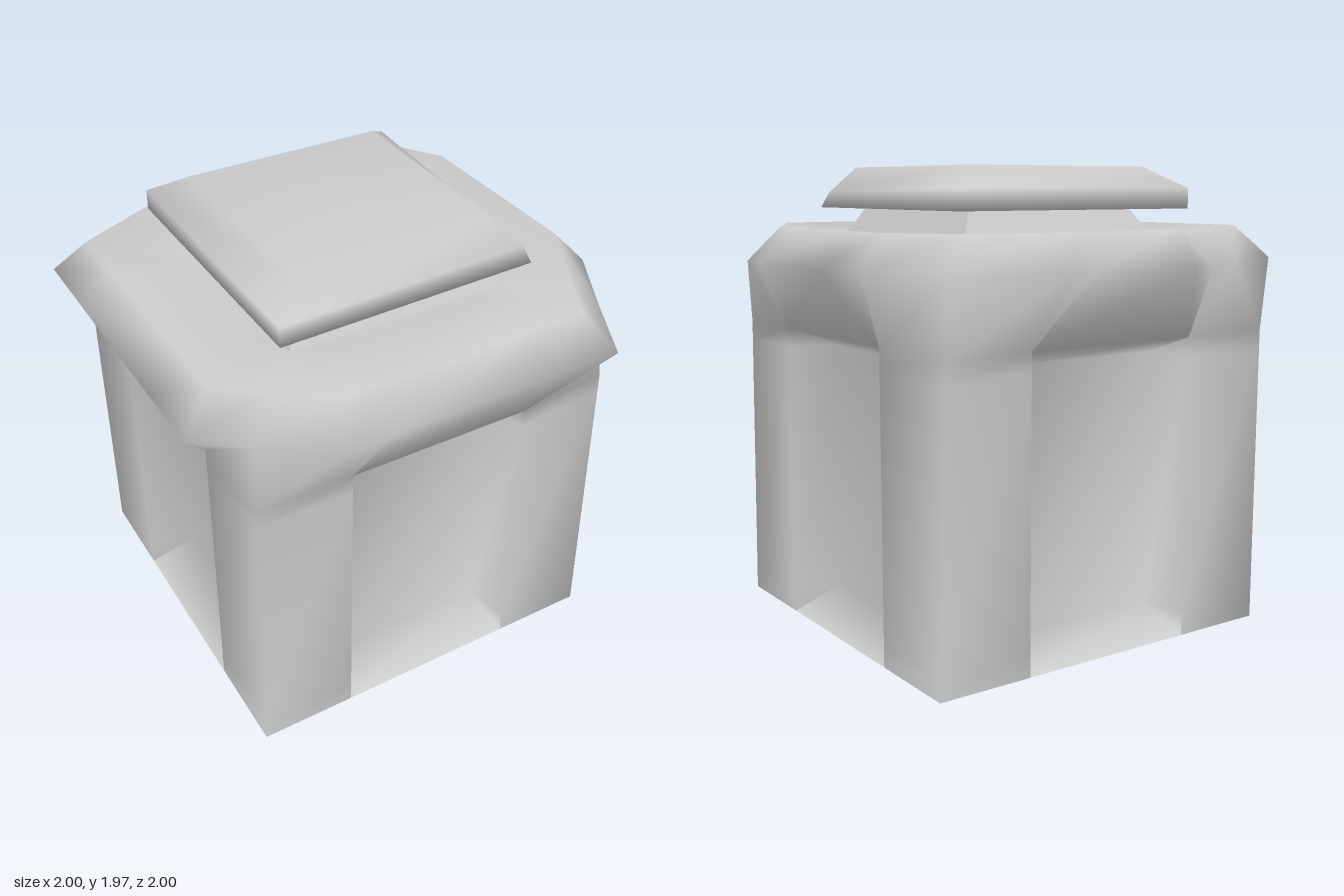
import * as THREE from 'three';

const material = new THREE.MeshStandardMaterial({ color: 0xcccccc, side: THREE.DoubleSide });

// Skin a stack of rings (arrays of [x, y, z], counterclockwise from above), closing the chosen ends.
function loft(name, rings, { bottom = true, top = true, smooth = true } = {}) {
  const n = rings[0].length;
  const last = (rings.length - 1) * n;
  const pos = rings.flat(2);
  const index = [];
  for (let r = 0; r < last; r += n) {
    for (let i = 0; i < n; i++) {
      const a = r + i, b = r + (i + 1) % n, c = b + n, d = a + n;
      index.push(a, b, c, a, c, d);
    }
  }
  const close = (base, flip) => {
    const center = pos.length / 3;
    const ring = rings[base / n];
    for (let k = 0; k < 3; k++) pos.push(ring.reduce((s, p) => s + p[k], 0) / n);
    for (let i = 0; i < n; i++) {
      const a = base + i, b = base + (i + 1) % n;
      index.push(...(flip ? [b, a, center] : [a, b, center]));
    }
  };
  if (bottom) close(0, true);
  if (top) close(last, false);
  let geometry = new THREE.BufferGeometry();
  geometry.setAttribute('position', new THREE.Float32BufferAttribute(pos, 3));
  geometry.setIndex(index);
  if (!smooth) geometry = geometry.toNonIndexed();
  geometry.computeVertexNormals();
  const mesh = new THREE.Mesh(geometry, material);
  mesh.name = name;
  return mesh;
}

// Square section with a niche of the given depth in the middle of each side.
function bodyRing(y, depth) {
  const half = 0.815;
  const inner = depth ? 0.35 : 0.4;
  const side = [[-half, half], [-0.4, half], [-inner, half - depth], [inner, half - depth], [0.4, half]];
  const ring = [];
  for (let k = 0; k < 4; k++) {
    for (const [u, v] of side) {
      let [x, z] = [[u, v], [v, -u], [-u, -v], [-v, u]][k];
      // the two left corners lean backward a little
      if (x > 0.7 && Math.abs(z) > 0.7) z -= (z < 0 ? 0.065 : 0.04) * y / 1.28;
      ring.push([x, y, z]);
    }
  }
  return ring;
}

// Irregular chipped outline of the flared collar.
const chippedOutline = [
  [-0.8, 0.82], [-0.54, 1], [-0.35, 1], [0.35, 1], [0.67, 1],
  [0.82, 0.71], [1, 0.38], [1, 0.25], [1, -0.3], [1, -0.6],
  [0.81, -0.89], [0.36, -1], [0.25, -1], [-0.25, -1], [-0.34, -1],
  [-0.6, -0.87], [-1, -0.68], [-1, -0.35], [-1, 0.35], [-1, 0.67],
];
const chippedRing = (y, s) => chippedOutline.map(([x, z]) => [x * s, y, z * s]);

const squareRing = (y, h) => [[-h, y, h], [h, y, h], [h, y, -h], [-h, y, -h]];

export function createModel() {
  const group = new THREE.Group();

  // post with four niches under a flared collar with a dished top
  group.add(loft('postAndCollar', [
    bodyRing(0, 0),
    bodyRing(0.1, 0.2),
    bodyRing(1.2, 0.2),
    bodyRing(1.28, 0),
    chippedRing(1.58, 1),
    chippedRing(1.72, 0.87),
    chippedRing(1.67, 0.55),
  ], { bottom: false }));

  // barely hollow underside
  group.add(loft('underside', [chippedRing(0.02, 0.72), bodyRing(0, 0)], { top: false }));

  // short tapered neck
  group.add(loft('neck', [squareRing(1.66, 0.49), squareRing(1.82, 0.4)], { smooth: false }));

  // bevelled cap with one worn corner
  const capBottom = [[-0.58, 1.795, 0.6], [0.555, 1.795, 0.57], [0.58, 1.795, -0.6], [-0.58, 1.795, -0.6]];
  const capRim = [[-0.58, 1.88, 0.6], [0.53, 1.86, 0.54], [0.58, 1.88, -0.6], [-0.58, 1.88, -0.6]];
  const capTop = [[-0.44, 1.97, 0.46], [0.44, 1.97, 0.45], [0.44, 1.97, -0.46], [-0.44, 1.97, -0.46]];
  group.add(loft('cap', [capBottom, capRim, capTop]));

  return group;
}
